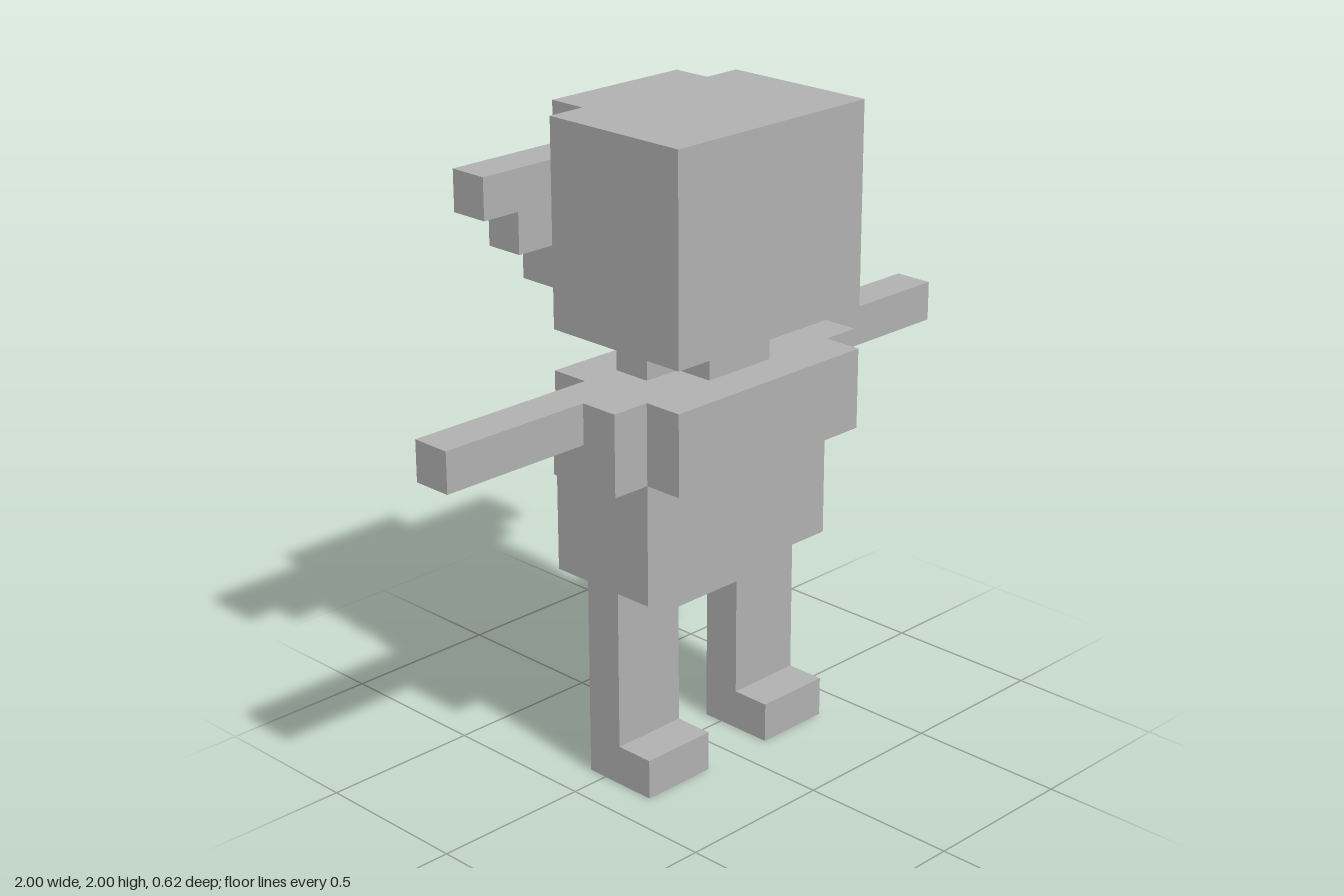
import * as THREE from 'three';

// All parts sit on a block grid; one block is an eighth of a unit.
const U = 0.125;

export function createModel() {
  const model = new THREE.Group();
  model.name = 'blockFigure';
  const grey = new THREE.MeshStandardMaterial({ color: 0xb0b0b0 });
  grey.name = 'grey';

  const add = (name, geometry) => {
    const mesh = new THREE.Mesh(geometry, grey);
    mesh.name = name;
    model.add(mesh);
    return mesh;
  };

  // Box given by its lowest and highest grid corners.
  const block = (name, [x0, y0, z0], [x1, y1, z1]) => {
    const mesh = add(name, new THREE.BoxGeometry((x1 - x0) * U, (y1 - y0) * U, (z1 - z0) * U));
    mesh.position.set((x0 + x1) / 2 * U, (y0 + y1) / 2 * U, (z0 + z1) / 2 * U);
  };

  // Same box on the left (+x) and right (-x).
  const pair = (name, [x0, y0, z0], [x1, y1, z1]) => {
    block('left' + name, [x0, y0, z0], [x1, y1, z1]);
    block('right' + name, [-x1, y0, z0], [-x0, y1, z1]);
  };

  // Symmetric plate: the outline of its left half is mirrored, then extruded in z.
  const plate = (name, half, z0, z1) => {
    const mirrored = half.map(([x, y]) => [-x, y]).reverse();
    const shape = new THREE.Shape([...half, ...mirrored].map(([x, y]) => new THREE.Vector2(x * U, y * U)));
    const geometry = new THREE.ExtrudeGeometry(shape, { depth: (z1 - z0) * U, bevelEnabled: false });
    add(name, geometry.translate(0, 0, z0 * U));
  };

  // Legs joined at the hips, with feet pointing forward
  plate('legs', [[1, 4], [1, 0], [3, 0], [3, 5]], -0.5, 0.5);
  pair('Foot', [1, 0, 0.5], [3, 1, 1.5]);

  // Body
  block('torso', [-3, 5, -1.5], [3, 10, 1.5]);
  block('chest', [-3, 8, 1.5], [3, 10, 2.5]);
  pair('Shoulder', [3, 8, -0.5], [4, 10, 1.5]);
  pair('Arm', [4, 9, -0.5], [8, 10, 0.5]);

  // Cross-shaped neck
  block('neck', [-1, 10, -1.5], [1, 11, 1.5]);
  pair('NeckSide', [1, 10, -0.5], [2, 11, 0.5]);

  // Head with a stepped plate behind it that spreads into the ears
  block('head', [-3, 11, -1.5], [3, 16, 2.5]);
  plate('headBackAndEars', [
    [2, 11], [2, 12], [3, 12], [3, 13], [4, 13], [4, 14],
    [5, 14], [5, 15], [2, 15], [2, 16],
  ], -2.5, -1.5);

  return model;
}
